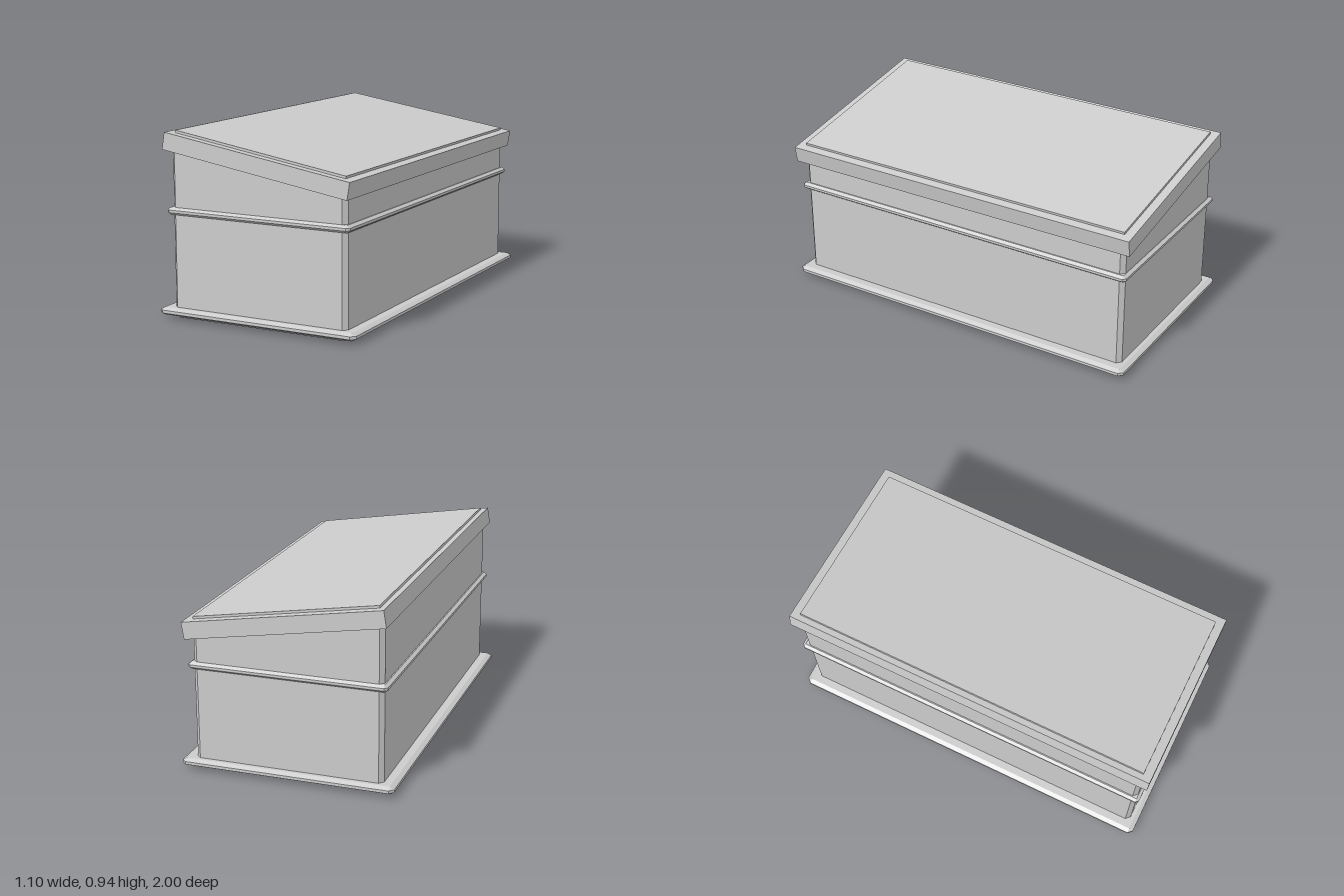
import * as THREE from 'three';
import { ConvexGeometry } from 'three/addons/geometries/ConvexGeometry.js';

const material = new THREE.MeshStandardMaterial({ color: 0xcccccc, flatShading: true });

function part(name, geometry, parent) {
  const mesh = new THREE.Mesh(geometry, material);
  mesh.name = name;
  parent.add(mesh);
  return mesh;
}

// Box with all edges chamfered: half sizes hx, hz, from y0 to y1, chamfer b sideways and bv upwards.
// slope tilts the top face along x.
function chamferBox(hx, hz, y0, y1, b, bv, slope = 0) {
  const points = [];
  for (const sx of [-1, 1]) for (const sz of [-1, 1]) {
    const add = (x, y, z) => points.push(new THREE.Vector3(sx * x, y, sz * z));
    const top = (x) => y1 + slope * sx * x;
    add(hx - b, y0, hz - b);
    add(hx - b, top(hx - b), hz - b);
    for (const [x, z] of [[hx, hz - b], [hx - b, hz]]) {
      add(x, y0 + bv, z);
      add(x, top(x) - bv, z);
    }
  }
  return new ConvexGeometry(points);
}

export function createModel() {
  const model = new THREE.Group();
  model.name = 'slantTopBox';

  // Body with chamfered corners and a sloping top tucked into the lid
  part('body', chamferBox(0.485, 0.957, 0, 0.825, 0.022, 0.018, -0.164), model);

  // Mouldings around the body
  part('baseMoulding', chamferBox(0.548, 1, 0.018, 0.057, 0.023, 0.012), model);
  part('middleMoulding', chamferBox(0.507, 0.975, 0.525, 0.562, 0.016, 0.012), model);

  // Sloping lid with a raised panel
  const lid = new THREE.Group();
  lid.name = 'lid';
  lid.position.set(0.007, 0.811, 0);
  lid.rotation.z = -0.163;
  model.add(lid);
  part('lidSlab', new THREE.BoxGeometry(1.03, 0.087, 1.99), lid);
  const panel = part('lidPanel', new THREE.BoxGeometry(0.953, 0.03, 1.9), lid);
  panel.position.set(-0.006, 0.041, 0);

  return model;
}
